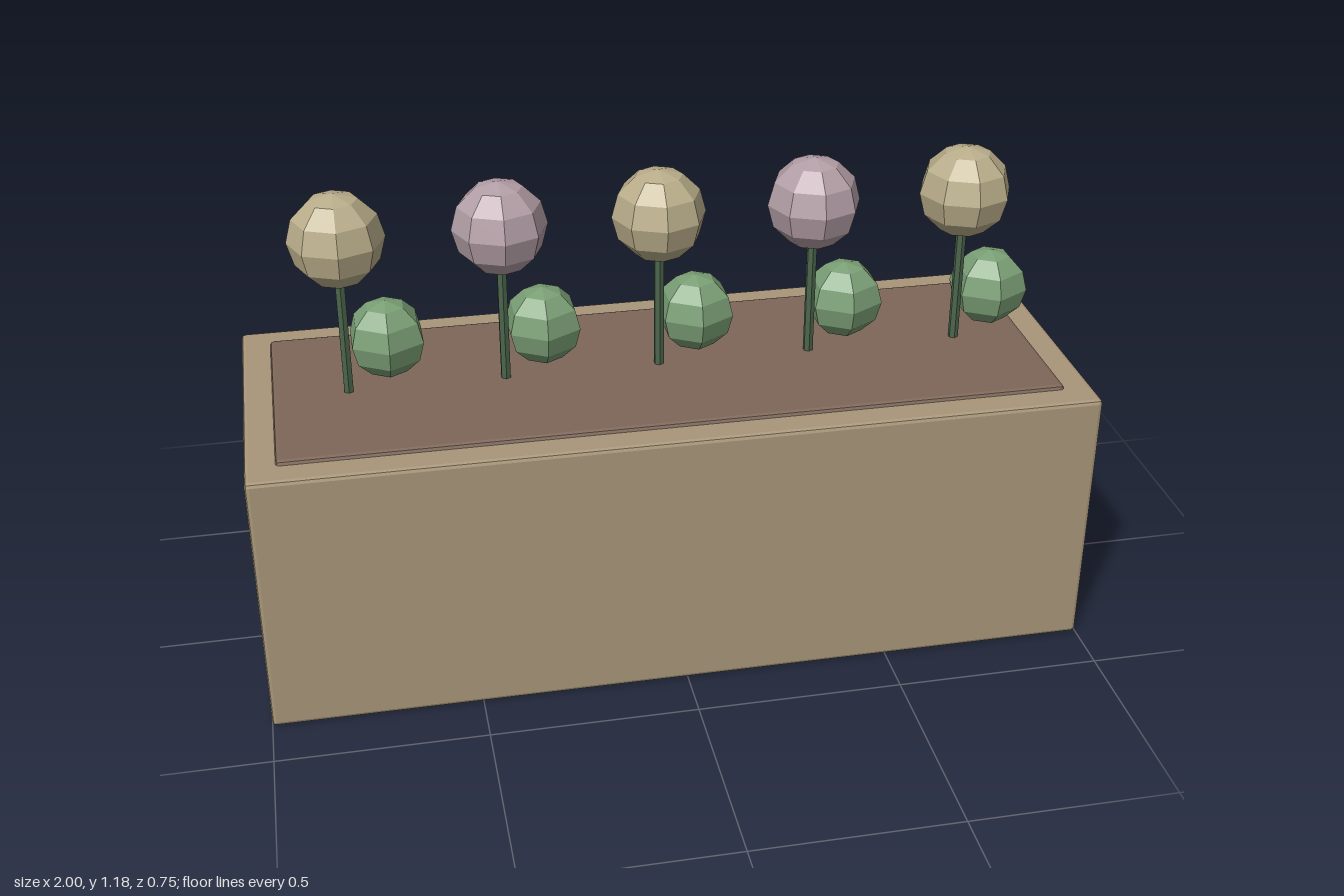
import * as THREE from 'three';
import { RoundedBoxGeometry } from 'three/addons/geometries/RoundedBoxGeometry.js';

const paint = (color) => new THREE.MeshStandardMaterial({ color, flatShading: true });

function addPart(parent, name, geometry, material, x, y, z) {
  const mesh = new THREE.Mesh(geometry, material);
  mesh.name = name;
  mesh.position.set(x, y, z);
  parent.add(mesh);
  return mesh;
}

export function createModel() {
  const model = new THREE.Group();
  model.name = 'flowerPlanter';

  const wood = paint(0xa89679);
  const earth = paint(0x7d6658);
  const stemGreen = paint(0x4b654c);
  const leafGreen = paint(0x7a9f75);
  const blooms = [paint(0xb9ad8a), paint(0xb39ea6)];

  // Trough with slightly eased edges, and the bed of soil standing just proud of it
  addPart(model, 'trough', new RoundedBoxGeometry(2, 0.667, 0.745, 1, 0.01), wood, 0, 0.3335, 0);
  addPart(model, 'soil', new RoundedBoxGeometry(1.86, 0.06, 0.605, 1, 0.01), earth, 0, 0.647, 0);

  // Row of five plants, blooms alternating in colour
  const stemGeometry = new THREE.CylinderGeometry(0.0125, 0.0125, 0.34, 6);
  const bloomGeometry = new THREE.SphereGeometry(0.113, 8, 6);
  const leafGeometry = new THREE.SphereGeometry(0.097, 6, 6).rotateY(Math.PI / 2);
  for (let i = 0; i < 5; i++) {
    const plant = new THREE.Group();
    plant.name = 'plant' + (i + 1);
    plant.position.x = (i - 2) * 0.375;
    addPart(plant, 'stem', stemGeometry, stemGreen, 0, 0.82, 0);
    addPart(plant, 'bloom', bloomGeometry, blooms[i % 2], 0, 1.071, 0);
    addPart(plant, 'leafBall', leafGeometry, leafGreen, 0.1, 0.786, -0.05);
    model.add(plant);
  }
  return model;
}
